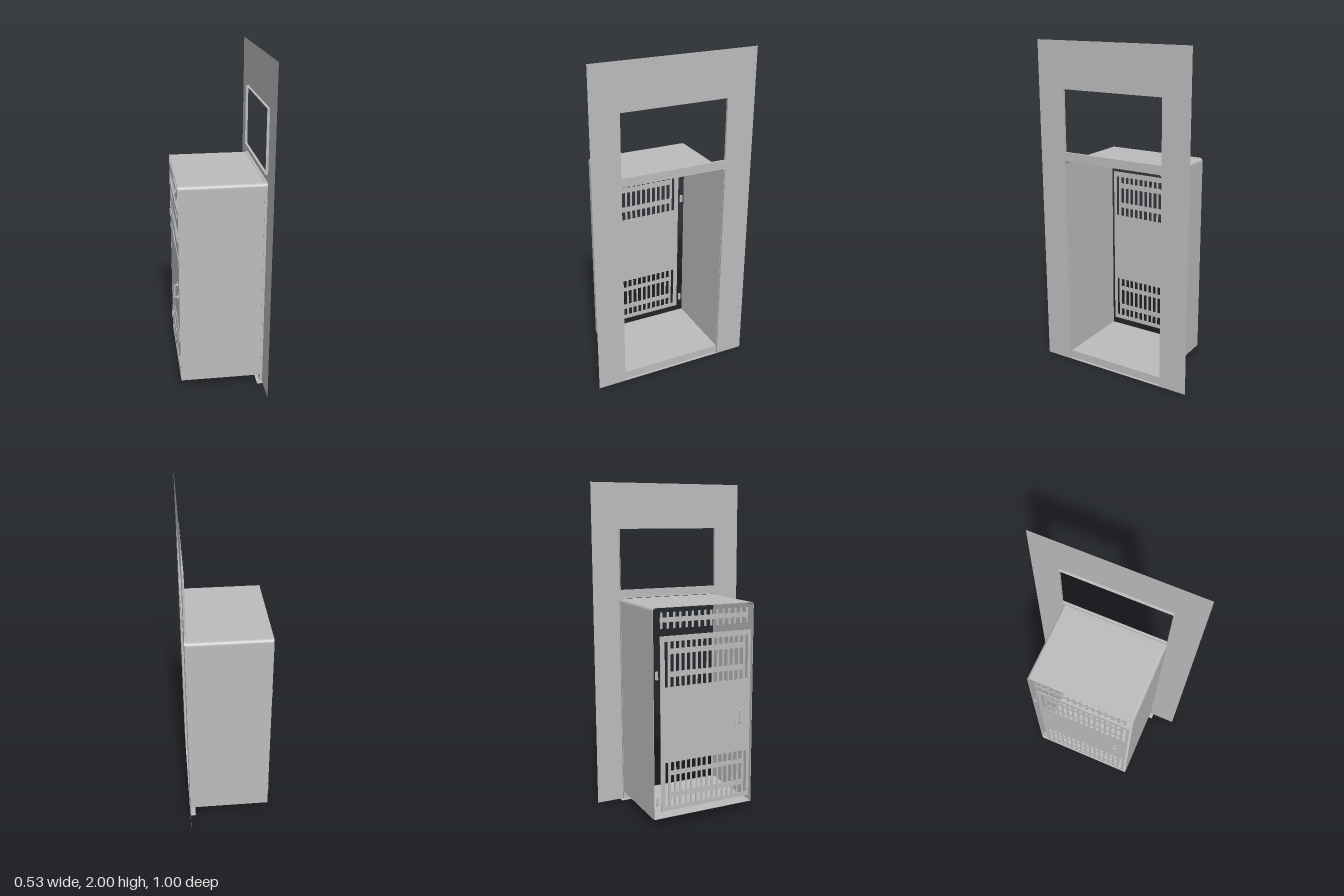
import * as THREE from 'three';

const metal = new THREE.MeshStandardMaterial({ color: 0xbcbcbc, side: THREE.DoubleSide });
metal.name = 'grey metal';

// Outline in the (-z, y) plane, with rounded upper corners
function outline(Type, u0, u1, y0, y1, r = 0) {
  const p = new Type();
  p.moveTo(u0, y0);
  p.lineTo(u1, y0);
  p.lineTo(u1, y1 - r);
  if (r) p.absarc(u1 - r, y1 - r, r, 0, Math.PI / 2, false);
  else p.lineTo(u1, y1);
  p.lineTo(u0 + r, y1);
  if (r) p.absarc(u0 + r, y1 - r, r, Math.PI / 2, Math.PI, false);
  p.lineTo(u0, y0);
  return p;
}

export function createModel() {
  const group = new THREE.Group();
  const add = (name, geo) => {
    const mesh = new THREE.Mesh(geo, metal);
    mesh.name = name;
    group.add(mesh);
    return mesh;
  };
  // Upright sheet facing +x, from x to x + depth
  const sheet = (name, shape, x, depth) => {
    const geo = depth
      ? new THREE.ExtrudeGeometry(shape, { depth, bevelEnabled: false, curveSegments: 8 })
      : new THREE.ShapeGeometry(shape, 8);
    geo.rotateY(Math.PI / 2).translate(x, 0, 0);
    return add(name, geo);
  };
  const block = (name, x0, x1, y0, y1, z0, z1) =>
    add(name, new THREE.BoxGeometry(x1 - x0, y1 - y0, z1 - z0)
      .translate((x0 + x1) / 2, (y0 + y1) / 2, (z0 + z1) / 2));
  // Hollow rectangular sleeve
  const sleeve = (name, u, y0, y1, r, t, x, depth) => {
    const s = outline(THREE.Shape, -u, u, y0, y1, r);
    s.holes.push(outline(THREE.Path, -u + t, u - t, y0 + t, y1 - t, r ? r - t : 0));
    return sheet(name, s, x, depth);
  };

  // Wall panel with doorway and window
  const panel = new THREE.Shape();
  [[-0.5, 0], [-0.328, 0], [-0.328, 1.285]].forEach(([u, y], i) => i ? panel.lineTo(u, y) : panel.moveTo(u, y));
  panel.absarc(-0.308, 1.285, 0.02, Math.PI, Math.PI / 2, true);
  panel.absarc(0.308, 1.285, 0.02, Math.PI / 2, 0, true);
  [[0.328, 0], [0.5, 0], [0.5, 2], [-0.5, 2]].forEach(([u, y]) => panel.lineTo(u, y));
  panel.holes.push(outline(THREE.Path, -0.326, 0.326, 1.356, 1.726));
  sheet('wallPanel', panel, 0.265, 0);
  sleeve('windowLining', 0.328, 1.354, 1.728, 0, 0.002, 0.25, 0.015);

  // Cabinet shell, open at both ends, with its doorway trim
  sleeve('cabinetShell', 0.328, 0.05, 1.302, 0.02, 0.003, -0.238, 0.49);
  sleeve('doorwayLining', 0.33, 0, 1.307, 0.022, 0.003, 0.25, 0.015);
  sheet('sill', outline(THREE.Shape, -0.327, 0.327, 0, 0.052), 0.251, 0);
  block('basePlate', 0.23, 0.265, 0, 0.003, -0.35, 0.35);

  // Door with two slotted vents, each crossed by two bars
  const door = outline(THREE.Shape, -0.31, 0.284, 0.094, 1.138);
  const vents = [
    [[0.841, 0.899], [0.931, 1.032], [1.064, 1.106]],
    [[0.12, 0.172], [0.204, 0.31], [0.337, 0.39]],
  ];
  for (const rows of vents) {
    const bottom = rows[0][0], top = rows[2][1];
    door.holes.push(outline(THREE.Path, -0.291, -0.273, bottom, top));
    door.holes.push(outline(THREE.Path, 0.237, 0.256, bottom, top));
    for (const [y0, y1] of rows)
      for (let i = 0; i < 14; i++) {
        const u = -0.257 + i * 0.035;
        door.holes.push(outline(THREE.Path, u, u + 0.023, y0, y1));
      }
  }
  sheet('door', door, -0.24, 0.005);

  // Upper grille: one rail with upright bars
  block('grilleRail', -0.24, -0.236, 1.216, 1.244, -0.284, 0.288);
  for (let i = 0; i < 15; i++) {
    const z = -0.275 + i * 0.0396;
    block('grilleBar', -0.2405, -0.2355, 1.18, 1.273, z - 0.0065, z + 0.0065);
  }

  // Hinges: leaf and pin
  for (const y of [0.915, 0.158]) {
    block('hingeLeaf', -0.24, -0.235, y - 0.024, y + 0.024, -0.316, -0.297);
    add('hingePin', new THREE.CylinderGeometry(0.005, 0.005, 0.05, 12).translate(-0.239, y, -0.306));
  }

  // Door handle with round mounts
  const grip = new THREE.CurvePath();
  const pts = [[-0.238, 0.573], [-0.254, 0.573], [-0.26, 0.579], [-0.26, 0.651], [-0.254, 0.657], [-0.238, 0.657]]
    .map(([x, y]) => new THREE.Vector3(x, y, 0.23));
  for (let i = 1; i < pts.length; i++) grip.add(new THREE.LineCurve3(pts[i - 1], pts[i]));
  add('handleGrip', new THREE.TubeGeometry(grip, 60, 0.005, 10, false));
  for (const y of [0.573, 0.657])
    add('handleMount', new THREE.CylinderGeometry(0.018, 0.018, 0.005, 24)
      .rotateZ(Math.PI / 2).translate(-0.242, y, 0.23));

  return group;
}
